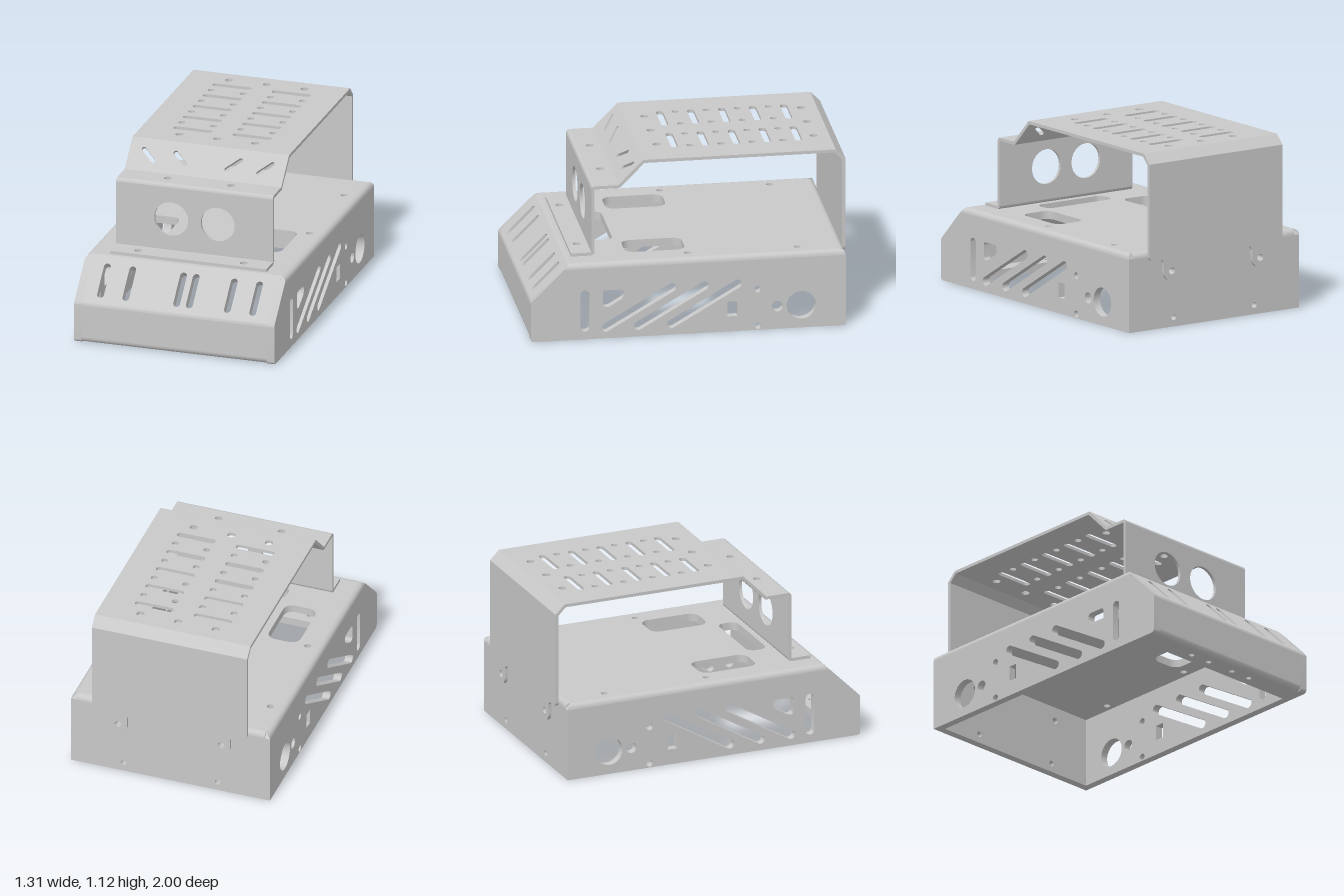
import * as THREE from 'three';
import { toCreasedNormals } from 'three/addons/utils/BufferGeometryUtils.js';

const BASE_T = 0.05, COVER_T = 0.02; // sheet thicknesses
const R = 0.035; // fold radius of the base
const metal = new THREE.MeshStandardMaterial({ color: 0xc8c8c8 });
metal.name = 'grey sheet metal';

const V2 = (x, y) => new THREE.Vector2(x, y);

// Closed path with rounded corners; a third value on a point overrides the radius
function rounded(path, pts, radius) {
  pts.forEach((q, i) => {
    const p = V2(q[0], q[1]);
    const a = V2(...pts[(i + pts.length - 1) % pts.length]);
    const b = V2(...pts[(i + 1) % pts.length]);
    const r = q[2] ?? radius;
    const da = a.sub(p).normalize(), db = b.sub(p).normalize();
    const at = (d, k) => p.clone().addScaledVector(d, r * k);
    const s = at(da, 1), e = at(db, 1), c1 = at(da, 0.45), c2 = at(db, 0.45);
    if (i === 0) path.moveTo(s.x, s.y); else path.lineTo(s.x, s.y);
    if (r > 0) path.bezierCurveTo(c1.x, c1.y, c2.x, c2.y, e.x, e.y);
  });
  path.closePath();
  return path;
}

// One point gives a round hole, two a slot, more a rounded polygon
function holePath({ pts, r }) {
  const path = new THREE.Path();
  if (pts.length > 2) return rounded(path, pts, r);
  const [a, b] = [pts[0], pts[pts.length - 1]];
  if (pts.length === 1) return path.absarc(a[0], a[1], r, 0, Math.PI * 2);
  const t = Math.atan2(b[1] - a[1], b[0] - a[0]);
  path.absarc(a[0], a[1], r, t + Math.PI / 2, t + Math.PI * 1.5);
  path.absarc(b[0], b[1], r, t - Math.PI / 2, t + Math.PI / 2);
  path.closePath();
  return path;
}

function asMesh(name, geometry) {
  const mesh = new THREE.Mesh(toCreasedNormals(geometry, 0.6), metal);
  mesh.name = name;
  return mesh;
}

const solid = (shape, depth) =>
  new THREE.ExtrudeGeometry(shape, { depth, bevelEnabled: false, curveSegments: 12 });

// Matrix taking a (z, y) drawing, extruded towards -x from the given x
const profileMatrix = (x) => new THREE.Matrix4()
  .makeBasis(new THREE.Vector3(0, 0, 1), new THREE.Vector3(0, 1, 0), new THREE.Vector3(-1, 0, 0))
  .setPosition(x, 0, 0);

// Folds a sheet along a (z, y, fold radius) path of its outer face: flat panels joined by bends
function foldedSheet(group, path, half, t, panels) {
  const P = path.map(([z, y]) => V2(z, y));
  const dirs = panels.map((_, i) => P[i + 1].clone().sub(P[i]).normalize());
  const normal = (d) => V2(d.y, -d.x);
  const trim = P.map(() => 0);

  for (let i = 1; i < P.length - 1; i++) {
    const n1 = normal(dirs[i - 1]), n2 = normal(dirs[i]);
    const theta = Math.acos(n1.dot(n2));
    const s = n1.dot(dirs[i]) < 0 ? 1 : -1; // outward or inward fold
    const r = path[i][2];
    const innerR = s > 0 ? Math.max(r - t, 0.001) : -(r + t);
    trim[i] = r * Math.tan(theta / 2);
    const c = P[i].clone().addScaledVector(dirs[i - 1], -trim[i]).addScaledVector(n1, -s * r);
    const outer = [], inner = [];
    for (let k = 0; k <= 6; k++) {
      const f = (theta * k) / 6;
      const n = n1.clone().multiplyScalar(Math.sin(theta - f))
        .addScaledVector(n2, Math.sin(f)).divideScalar(Math.sin(theta));
      outer.push(c.clone().addScaledVector(n, s * r));
      inner.unshift(c.clone().addScaledVector(n, innerR));
    }
    const bend = solid(new THREE.Shape([...outer, ...inner]), half * 2);
    group.add(asMesh('bend', bend.applyMatrix4(profileMatrix(half))));
  }

  panels.forEach(({ name, holes = [], tail = [] }, i) => {
    const A = P[i], d = dirs[i], n = normal(d);
    // Holes are placed by x and by world y on steep panels, z on level ones
    const along = (w) => (Math.abs(d.y) > 0.65 ? (w - A.y) / d.y : (w - A.x) / d.x);
    const s0 = trim[i], s1 = A.distanceTo(P[i + 1]) - trim[i + 1];
    const end = tail.length ? tail.map(([x, y, r]) => [x, along(y), r]) : [[half, s1], [-half, s1]];
    const shape = rounded(new THREE.Shape(), [[-half, s0], [half, s0], ...end], 0);
    shape.holes = holes.map(({ pts, r }) => holePath({ pts: pts.map((p) => [p[0], along(p[1])]), r }));
    const m = new THREE.Matrix4().makeBasis(new THREE.Vector3(1, 0, 0),
      new THREE.Vector3(0, d.y, d.x), new THREE.Vector3(0, n.y, n.x));
    m.setPosition(0, A.y - n.y * t, A.x - n.x * t);
    group.add(asMesh(name, solid(shape, t).applyMatrix4(m)));
  });
}

const rounds = (xs, w, r) => xs.map((x) => ({ pts: [[x, w]], r }));
const pair = (pts, r) => [1, -1].map((s) => ({ pts: pts.map(([x, w]) => [s * x, w]), r }));

function buildBase() {
  const base = new THREE.Group();
  base.name = 'base';
  const W = 0.655, edge = W - R, shoulder = 0.5 - R;
  const path = [[0.84, 0], [1, 0, R], [1, 0.26, R], [0.76, 0.5, R], [-0.98, 0.5, R], [-0.98, 0]];
  foldedSheet(base, path, edge, BASE_T, [
    { name: 'frontFlange', holes: rounds([-0.245, -0.1, 0.1, 0.245], 0.91, 0.018) },
    { name: 'frontPanel' },
    {
      name: 'slopedPanel',
      holes: [-0.499, -0.333, -0.001, 0.082, 0.331, 0.496].map((x) => ({ pts: [[x, 0.312], [x, 0.447]], r: 0.022 })),
    },
    {
      name: 'topPanel',
      holes: [
        ...rounds([-0.555, 0.555], -0.69, 0.021), ...rounds([-0.555, 0.555], 0, 0.021),
        ...rounds([-0.345, 0.345], 0.665, 0.024),
        ...pair([[0.28, 0], [0.49, 0], [0.49, 0.38], [0.28, 0.38]], 0.06),
        { pts: [[-0.25, 0.42], [0.25, 0.42], [0.25, 0.55], [-0.25, 0.55]], r: 0.05 },
      ],
    },
    {
      name: 'rearPanel',
      holes: [...rounds([-0.34, 0.34], 0.36, 0.02), ...rounds([-0.31, 0.31], 0.058, 0.018)],
    },
  ]);

  // Side panels with vents, drawn in (z, y)
  const sideHoles = [
    { pts: [[0.66, 0.08], [0.66, 0.295]], r: 0.029 },
    { pts: [[0.547, 0.318], [0.413, 0.318], [0.413, 0.265], [0.51, 0.206, 0.016], [0.547, 0.206, 0.016]], r: 0.02 },
    ...[0.53, 0.325, 0.117].map((z) => ({ pts: [[z, 0.07], [z - 0.417, 0.313]], r: 0.028 })),
    { pts: [[-0.238, 0.1], [-0.3, 0.1], [-0.3, 0.197], [-0.238, 0.197]], r: 0 },
    ...rounds([-0.425], 0.27, 0.022), ...rounds([-0.425], 0.027, 0.022),
    ...rounds([-0.55], 0.15, 0.035), ...rounds([-0.7], 0.15, 0.092),
  ];
  const outline = [[-0.98, 0], [1, 0, 0.02], [1, 0.26, 0.012], [1.26 - shoulder, shoulder], [-0.98, shoulder]];
  for (const s of [1, -1]) {
    const side = rounded(new THREE.Shape(), outline, 0);
    side.holes = sideHoles.map(holePath);
    const m = profileMatrix(s > 0 ? W : BASE_T - W);
    base.add(asMesh(s > 0 ? 'leftSide' : 'rightSide', solid(side, BASE_T).applyMatrix4(m)));

    // Rounded fold between side and top, cut to the slope in front and rounded behind
    const arc = Array.from({ length: 9 }, (_, k) => V2(
      s * (edge + R * Math.cos((k * Math.PI) / 16)), shoulder + R * Math.sin((k * Math.PI) / 16)));
    const fold = solid(new THREE.Shape([V2(s * edge, shoulder), ...arc]), 1);
    const pos = fold.attributes.position;
    for (let i = 0; i < pos.count; i++) {
      const y = pos.getY(i);
      const rear = -0.98 + R - Math.sqrt(Math.max(0, R * R - (y - shoulder) ** 2));
      pos.setZ(i, pos.getZ(i) > 0.5 ? 1.258 - y : rear);
    }
    base.add(asMesh('sideBend', fold));
  }
  return base;
}

function buildCover() {
  const cover = new THREE.Group();
  cover.name = 'cover';
  const W = 0.512, sharp = 0.002;
  const topHoles = [-0.84, 0.145].flatMap((z) => rounds([-0.248, 0, 0.248], z, 0.025));
  for (let i = 0; i < 5; i++) {
    const z = -0.738 + i * 0.195;
    topHoles.push(...pair([[0.09, z], [0.298, z]], 0.022));
    if (i < 4) topHoles.push(...rounds([-0.298, -0.09, 0.09, 0.298], z + 0.097, 0.021));
  }
  // Lower rear edge with two screw ears
  const tail = [[W, 0.44, 0.03], [0.4, 0.44, 0.03], [0.4, 0.3, 0.058], [0.28, 0.3, 0.058], [0.28, 0.44, 0.03]];
  const mirrored = tail.map(([x, y, r]) => [-x, y, r]).reverse();
  const path = [[0.725, 0.52], [0.597, 0.52, sharp], [0.597, 0.957, 0.022], [0.427, 0.957, sharp],
    [0.272, 1.115, sharp], [-0.94, 1.115, sharp], [-1, 1.055, sharp], [-1, 0.44]];

  foldedSheet(cover, path, W, COVER_T, [
    { name: 'coverFoot', holes: rounds([-0.345, 0.345], 0.665, 0.024) },
    { name: 'coverFront', holes: rounds([-0.152, 0.152], 0.728, 0.111) },
    { name: 'coverShelf', holes: rounds([-0.207, 0.207], 0.495, 0.024) },
    {
      name: 'coverSlope',
      holes: [...pair([[0.42, 1.062], [0.345, 1.011]], 0.014), ...pair([[0.212, 1.062], [0.137, 1.011]], 0.014)],
    },
    { name: 'coverTop', holes: topHoles },
    { name: 'coverChamfer' },
    { name: 'coverRear', tail: [...tail, ...mirrored], holes: rounds([-0.34, 0.34], 0.36, 0.022) },
  ]);
  return cover;
}

export function createModel() {
  const model = new THREE.Group();
  model.name = 'sheetMetalEnclosure';
  model.add(buildBase(), buildCover());
  return model;
}
